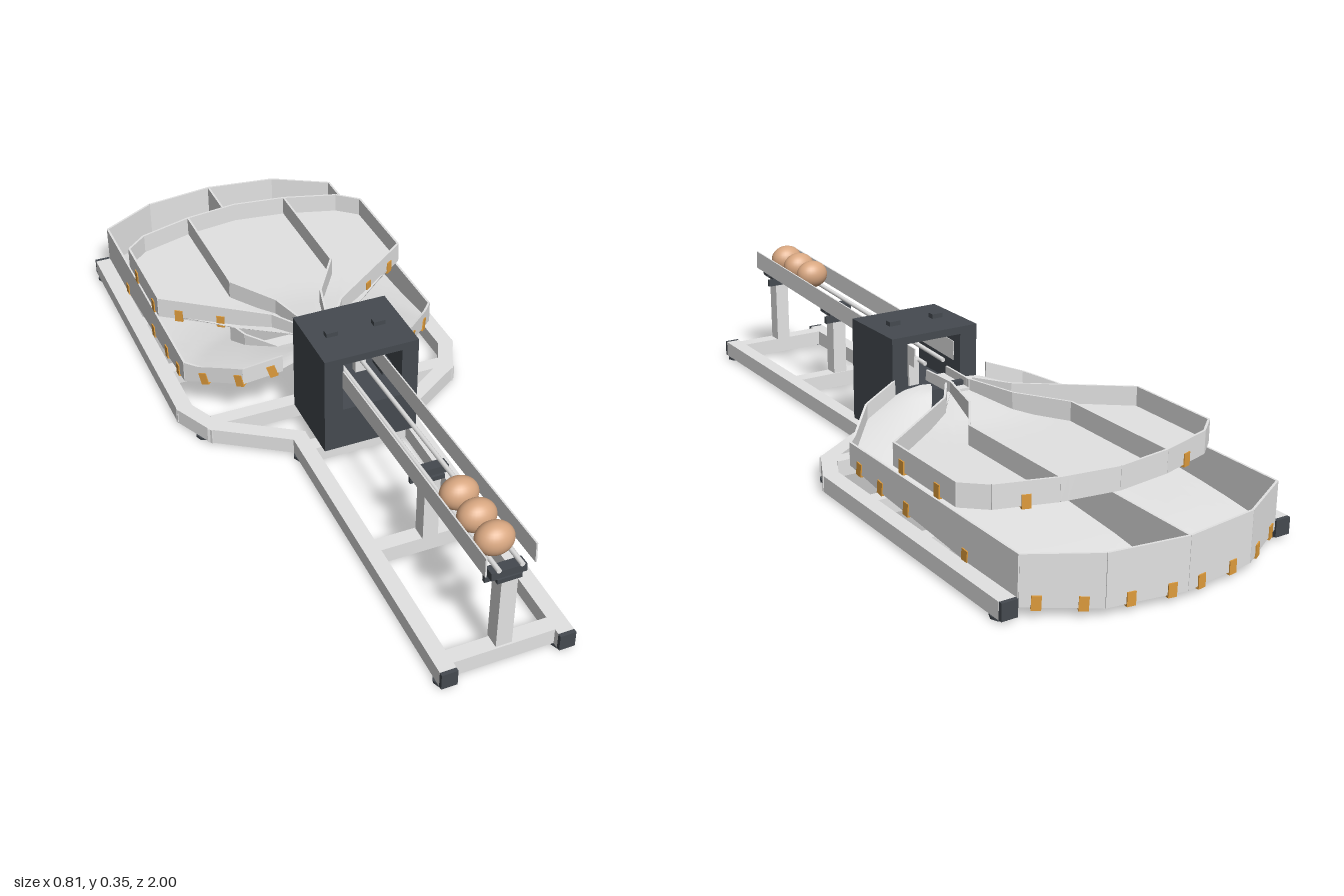
import * as THREE from 'three';

const mat = (name, color, extra = {}) => {
  const m = new THREE.MeshStandardMaterial({ color, ...extra });
  m.name = name;
  return m;
};

export function createModel() {
  const root = new THREE.Group();
  const grey = mat('light grey metal', 0xe3e3e3);
  const sheet = mat('light grey sheet', 0xe3e3e3, { side: THREE.DoubleSide });
  const dark = mat('dark plastic', 0x454a50);
  const orange = mat('orange clip', 0xdf9c3c);
  const shell = mat('egg shell', 0xd8a781);

  const add = (name, geo, m, x = 0, y = 0, z = 0, parent = root) => {
    const mesh = new THREE.Mesh(geo, m);
    mesh.name = name;
    mesh.position.set(x, y, z);
    parent.add(mesh);
    return mesh;
  };
  // Box given by its limits
  const block = (name, m, x0, x1, y0, y1, z0, z1, parent = root) =>
    add(name, new THREE.BoxGeometry(x1 - x0, y1 - y0, z1 - z0), m,
      (x0 + x1) / 2, (y0 + y1) / 2, (z0 + z1) / 2, parent);
  // Square frame tube between two ground points
  const beam = (name, a, b, extra = 0, w = 0.04) => {
    const dx = b[0] - a[0], dz = b[1] - a[1];
    const m = add(name, new THREE.BoxGeometry(w, 0.043, Math.hypot(dx, dz) + extra), grey,
      (a[0] + b[0]) / 2, 0.0285, (a[1] + b[1]) / 2);
    m.rotation.y = Math.atan2(dx, dz);
  };
  const mix = (a, b, t) => [a[0] + (b[0] - a[0]) * t, a[1] + (b[1] - a[1]) * t];
  const lerp = (table, d) => {
    for (let i = 1; i < table.length; i++) {
      const [d0, y0] = table[i - 1], [d1, y1] = table[i];
      if (d <= d1) return y0 + (y1 - y0) * (d - d0) / (d1 - d0);
    }
    return table[table.length - 1][1];
  };

  // Base frame
  for (const s of [-1, 1]) {
    beam('frontRail', [s * 0.146, 0.985], [s * 0.146, 0.12], 0.01);
    beam('slantedRail', [s * 0.146, 0.125], [s * 0.335, 0.0], 0.025);
    beam('cornerRail', [s * 0.335, 0.0], [s * 0.382, -0.1], 0.025);
    beam('sideRail', [s * 0.382, -0.1], [s * 0.382, -0.87], 0.01, 0.043);
    block('railEndCap', dark, s * 0.146 - 0.02, s * 0.146 + 0.02, 0.007, 0.05, 0.99, 1.0);
    block('railEndCap', dark, s * 0.382 - 0.021, s * 0.382 + 0.021, 0.007, 0.05, -0.885, -0.875);
    for (const [x, z] of [[0.146, 0.97], [0.35, -0.03], [0.382, -0.85], [0.146, 0.15]])
      add('foot', new THREE.CylinderGeometry(0.025, 0.025, 0.007, 8), dark, s * x, 0.0035, z);
    block('traySupport', grey, s * 0.305 - 0.025, s * 0.305 + 0.025, 0.05, 0.06, -0.3, -0.26);
  }
  for (const [z, w] of [[0.955, 0.146], [0.575, 0.146], [0.17, 0.146], [-0.02, 0.33], [-0.28, 0.37], [-0.52, 0.37]])
    beam('crossBar', [-w, z], [w, z]);

  // Sheet floor between an inner and an outer path, height set by a rule
  const floor = (name, inner, outer, heightAt) => {
    const cols = 14, sub = 6, pos = [], idx = [];
    const rows = (outer.length - 1) * sub;
    for (let r = 0; r <= rows; r++) {
      const i = Math.min(Math.floor(r / sub), outer.length - 2), t = r / sub - i;
      const a = mix(inner[i], inner[i + 1], t), b = mix(outer[i], outer[i + 1], t);
      for (let c = 0; c <= cols; c++) {
        const [x, z] = mix(a, b, c / cols);
        pos.push(x, heightAt(x, z), z);
        if (r && c) {
          const k = r * (cols + 1) + c, j = k - cols - 1;
          // Keep the face side up on both mirrored halves
          if (outer[0][0] > 0) idx.push(j - 1, j, k, j - 1, k, k - 1);
          else idx.push(j - 1, k, j, j - 1, k - 1, k);
        }
      }
    }
    const g = new THREE.BufferGeometry();
    g.setAttribute('position', new THREE.Float32BufferAttribute(pos, 3));
    g.setIndex(idx);
    g.computeVertexNormals();
    add(name, g, sheet);
  };
  // Thin upright wall along a path, from the floor up to topAt
  const wall = (name, path, heightAt, topAt, t = 0.003) => {
    for (let i = 1; i < path.length; i++) {
      const [x0, z0] = path[i - 1], [x1, z1] = path[i];
      const len = Math.hypot(x1 - x0, z1 - z0);
      const g = new THREE.BoxGeometry(len, 1, t * 2, 8, 1, 1), p = g.attributes.position;
      for (let k = 0; k < p.count; k++) {
        const off = p.getZ(k), [x, z] = mix(path[i - 1], path[i], p.getX(k) / len + 0.5);
        p.setXYZ(k, x - (z1 - z0) / len * off, p.getY(k) > 0 ? topAt(x, z) : heightAt(x, z) - 0.006,
          z + (x1 - x0) / len * off);
      }
      g.computeVertexNormals();
      add(name, g, sheet);
    }
  };
  // Bent clips joining a wall to the floor, tilted with its slope; side picks the outer face
  const clips = (a, b, fractions, heightAt, side) => {
    const [p, q] = side < 0 ? [b, a] : [a, b];
    const dx = q[0] - p[0], dz = q[1] - p[1], len = Math.hypot(dx, dz);
    for (const f of fractions) {
      const [x, z] = mix(a, b, f), ux = dx / len * 0.01, uz = dz / len * 0.01;
      const clip = new THREE.Group();
      clip.name = 'clip';
      block('clipPlate', orange, -0.011, 0.011, -0.01, 0.022, 0.002, 0.006, clip);
      block('clipFlange', orange, -0.011, 0.011, -0.012, -0.008, -0.02, 0.006, clip);
      clip.position.set(x, heightAt(x, z), z);
      clip.rotation.y = Math.atan2(-dz, dx);
      clip.rotation.z = Math.atan2(heightAt(x + ux, z + uz) - heightAt(x - ux, z - uz), 0.02);
      root.add(clip);
    }
  };

  // Lower trays, one to each side
  const lowTable = [[0, 0.192], [0.05, 0.187], [0.18, 0.143], [0.34, 0.095], [0.45, 0.077], [0.75, 0.055], [1, 0.025]];
  for (const s of [-1, 1]) {
    const m = ([x, z]) => [s * x, z];
    const h = (x, z) => lerp(lowTable, Math.hypot(x - s * 0.06, z));
    const top = (x, z) => Math.max(0.15, h(x, z) + 0.042);
    const outer = [[0.14, 0], [0.24, -0.03], [0.357, -0.16], [0.357, -0.4], [0.357, -0.88], [0.2, -0.97], [0, -0.997]].map(m);
    const inner = [[0.03, 0], [0.08, -0.08], [0.17, -0.2], [0.19, -0.26], [0.13, -0.35], [0.07, -0.385], [0, -0.42]].map(m);
    floor('lowerTrayFloor', inner, outer, h);
    wall('lowerTrayWall', outer, h, top);
    wall('lowerTrayInnerWall', inner, h, (x, z) => Math.min(0.162, h(x, z) + 0.06));
    wall('lowerTrayDivider', [m([0, -0.994]), m([0, -0.42])], h, () => 0.15);
    const put = (i, fs) => clips(outer[i], outer[i + 1], fs, h, s);
    put(0, [0.25]);
    put(1, [0.05, 0.65]);
    put(2, [0.2, 0.62]);
    put(3, [0.06, 0.58]);
    put(4, [0.2, 0.75]);
    put(5, [0.3, 0.8]);
    clips(inner[2], inner[3], [0.6], h, -s);
    clips(inner[4], inner[5], [0.1], h, -s);
    // Pads under the floor
    for (const [x, z] of [[0.1, -0.45], [0.27, -0.42], [0.1, -0.7], [0.28, -0.74], [0.06, -0.92]])
      block('underPad', dark, s * x - 0.02, s * x + 0.02, h(s * x, z) - 0.016, h(s * x, z) - 0.005, z - 0.018, z + 0.018);
  }

  // Upper tray with three lanes
  const upTable = [[0, 0.197], [0.25, 0.172], [1, 0.166]];
  const uh = (x, z) => lerp(upTable, Math.hypot(x, z + 0.06));
  const ut = () => 0.222;
  const half = [[0.04, -0.09], [0.1, -0.18], [0.357, -0.37], [0.357, -0.64], [0.3, -0.69], [0.15, -0.735], [0, -0.755]];
  const full = [...half, ...half.slice(0, -1).reverse().map(([x, z]) => [-x, z])];
  floor('upperTrayFloor', full.map(() => [0, -0.06]), full, uh);
  wall('upperTrayWall', full, uh, ut);
  for (const s of [-1, 1]) {
    const e = half.map(([x, z]) => [s * x, z]);
    wall('upperTrayDivider', [[0.15, -0.735], [0.15, -0.37], [0.065, -0.24], [0.025, -0.09]].map(([x, z]) => [s * x, z]), uh, ut);
    clips(e[1], e[2], [0.45, 0.82], uh, s);
    clips(e[2], e[3], [0.15, 0.72], uh, s);
    clips(e[4], e[5], [0.5], uh, s);
    // Guides from the sorter to the lanes
    wall('laneGuide', [[s * 0.025, -0.1], [s * 0.03, 0.02]], () => 0.2, () => 0.222);
  }
  block('laneInlet', grey, -0.028, 0.028, 0.19, 0.2, -0.1, 0.03);
  block('laneGate', dark, -0.025, 0.025, 0.2, 0.212, -0.075, -0.06);

  // Sorter housing, open front and back
  block('housingBase', dark, -0.11, 0.145, 0.05, 0.17, 0, 0.21);
  block('housingRightWall', dark, -0.11, -0.06, 0.17, 0.31, 0, 0.21);
  block('housingLeftWall', dark, 0.1, 0.145, 0.17, 0.31, 0, 0.21);
  block('housingTop', dark, -0.11, 0.145, 0.31, 0.33, 0, 0.21);
  block('controlBox', dark, 0.04, 0.14, 0.055, 0.105, -0.09, 0);
  for (const x of [-0.05, 0.08]) block('topKnob', dark, x - 0.016, x + 0.016, 0.33, 0.342, 0.096, 0.116);
  block('motor', dark, 0.074, 0.1, 0.198, 0.23, 0.09, 0.15);
  block('sorterArm', grey, 0.03, 0.06, 0.17, 0.24, 0.06, 0.08);

  // Sloping feed rails
  const feed = new THREE.Group();
  feed.name = 'feedRails';
  feed.position.set(0, 0.281, 0.5);
  feed.rotation.x = -Math.atan(0.052);
  root.add(feed);
  for (const s of [-1, 1]) {
    block('feedSide', grey, s * 0.06 - 0.002, s * 0.06 + 0.002, -0.027, 0.025, -0.47, 0.47, feed);
    add('feedRod', new THREE.CylinderGeometry(0.006, 0.006, 0.94, 10).rotateX(Math.PI / 2), grey, s * 0.028, -0.022, 0, feed);
  }
  for (const z of [0.075, 0.45])
    block('railBracket', dark, -0.043, 0.043, -0.05, -0.03, z - 0.014, z + 0.014, feed);

  // Posts holding the rails
  for (const [z, y] of [[0.95, 0.245], [0.578, 0.225]]) {
    block('post', grey, -0.02, 0.02, 0.05, y, z - 0.02, z + 0.02);
    block('postCap', dark, -0.043, 0.043, y - 0.02, y, z - 0.022, z - 0.012);
    block('postCapTop', dark, -0.03, 0.03, y, y + 0.012, z - 0.02, z + 0.02);
  }

  // Eggs
  const eggGeo = new THREE.SphereGeometry(1, 28, 18);
  eggGeo.scale(0.047, 0.04, 0.037);
  for (const [z, y] of [[0.902, 0.313], [0.82, 0.309], [0.735, 0.304]])
    add('egg', eggGeo, shell, -0.006, y, z);

  return root;
}
